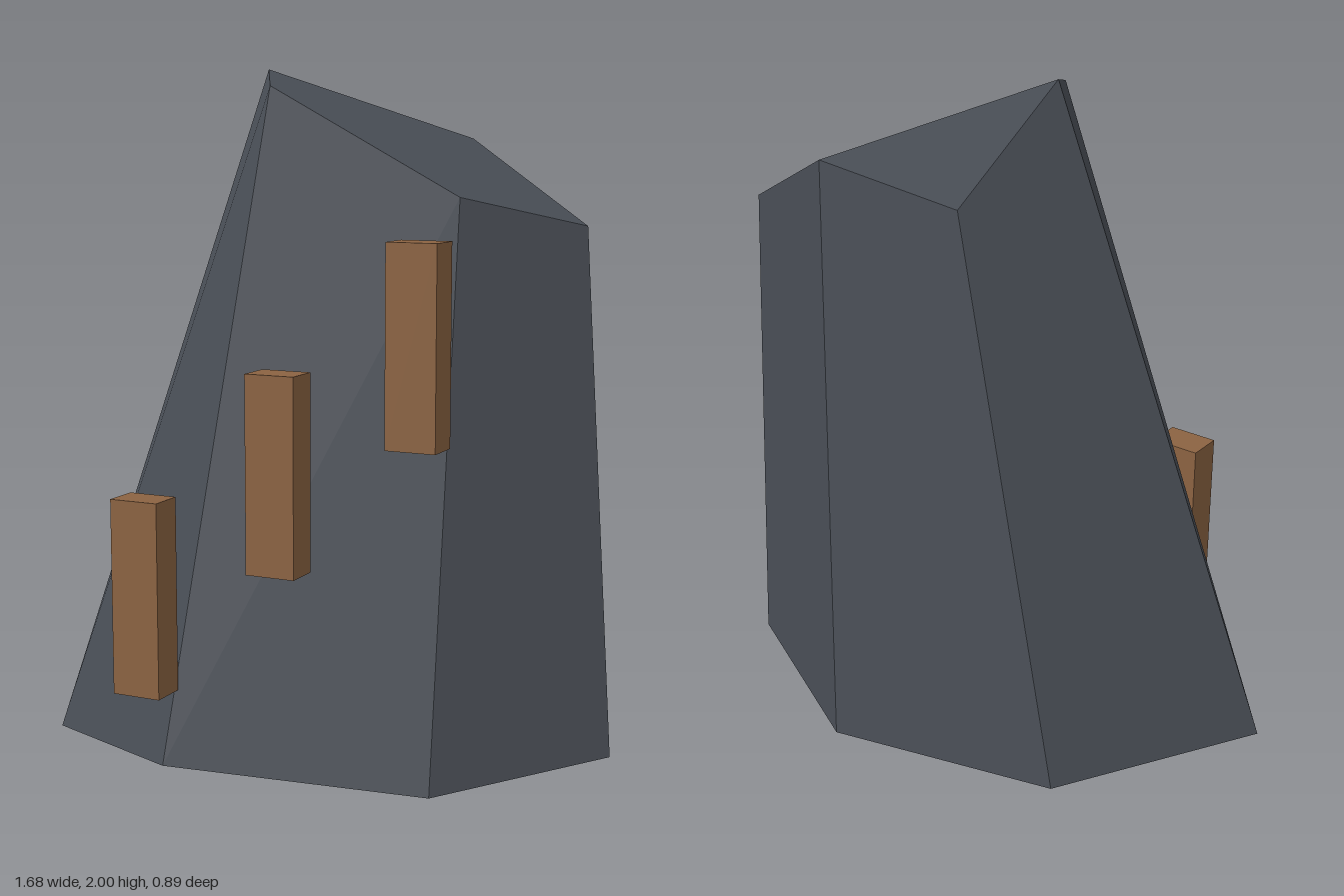
import * as THREE from 'three';

// Facets are fans of triangles; each facet keeps one shared normal.
function facetGeometry(facets) {
  const position = [], normal = [];
  for (const pts of facets) {
    const n = new THREE.Vector3();
    pts.forEach((p, i) => n.add(p.clone().cross(pts[(i + 1) % pts.length])));
    n.normalize();
    for (let i = 1; i < pts.length - 1; i++) {
      for (const p of [pts[0], pts[i], pts[i + 1]]) {
        position.push(...p.toArray());
        normal.push(...n.toArray());
      }
    }
  }
  const geo = new THREE.BufferGeometry();
  geo.setAttribute('position', new THREE.Float32BufferAttribute(position, 3));
  geo.setAttribute('normal', new THREE.Float32BufferAttribute(normal, 3));
  return geo;
}

export function createModel() {
  const group = new THREE.Group();
  const stone = new THREE.MeshStandardMaterial({ color: 0x4a4f57 });
  stone.name = 'slate stone';
  const wood = new THREE.MeshStandardMaterial({ color: 0x8b6342 });
  wood.name = 'brown wood';

  // Rock: a six-sided base ring leaning up to a slanted crown ring
  const v = (p) => new THREE.Vector3(...p);
  const base = [
    [-0.84, 0, 0.04], [-0.435, 0, 0.33], [0.36, 0, 0.445],
    [0.84, 0, 0.015], [0.355, 0, -0.44], [-0.35, 0, -0.45],
  ].map(v);
  const crown = [
    [-0.19, 2, -0.04], [-0.15, 1.95, 0.125], [0.39, 1.64, 0.11],
    [0.74, 1.555, -0.05], [0.375, 1.8, -0.35], [-0.025, 1.71, -0.345],
  ].map(v);
  const sides = base.map((b, i) => {
    const j = (i + 1) % base.length;
    return [b, base[j], crown[j], crown[i]];
  });
  const rock = new THREE.Mesh(facetGeometry([...sides, crown, [...base].reverse()]), stone);
  rock.name = 'rock';
  group.add(rock);

  // Wooden posts rising in steps across the front
  const postGeo = new THREE.BoxGeometry(0.15, 0.57, 0.108);
  for (let i = 0; i < 3; i++) {
    const post = new THREE.Mesh(postGeo, wood);
    post.name = `post${i + 1}`;
    post.position.set(-0.477 + i * 0.392, 0.51 + i * 0.3675, 0.343);
    post.rotation.y = -0.26;
    group.add(post);
  }
  return group;
}
